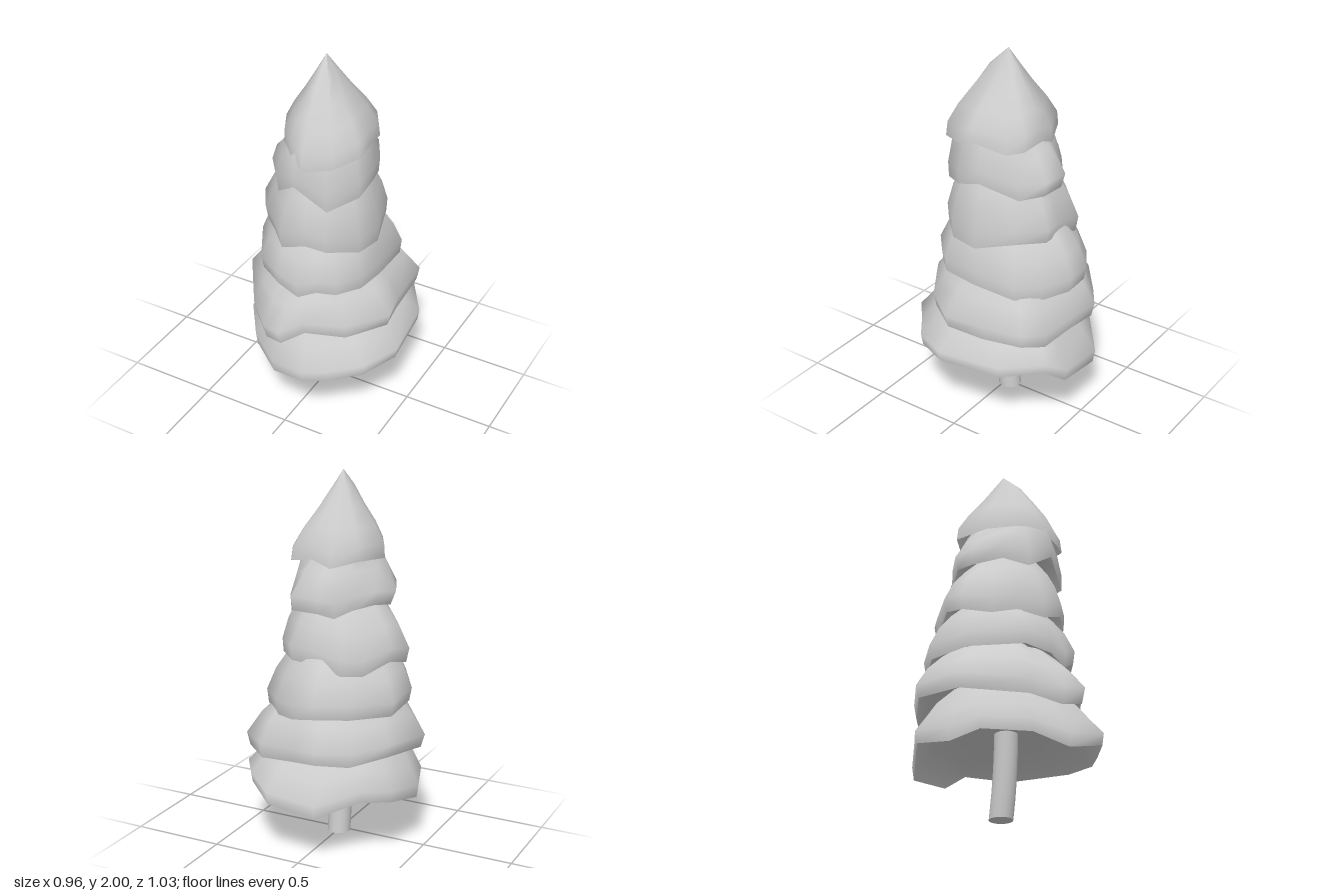
import * as THREE from 'three';

// Each profile row is [height fraction from rim to top, scale of the rim outline].
const BASE = [[0, 0.98], [0.15, 1], [0.36, 0.86], [0.55, 0.74], [0.8, 0.5], [1, 0.3]];
const BELL = [[0, 0.97], [0.18, 1], [0.45, 0.87], [0.65, 0.71], [1, 0.35]];
const TIP = [[0, 0.98], [0.16, 0.95], [0.36, 0.75], [0.58, 0.47], [0.8, 0.22], [1, 0]];

const grey = () => new THREE.MeshStandardMaterial({ color: 0xcccccc });

// Skin a ragged rim outline upward along a profile.
// Rim rows are x, y, z, flare: above 1 the branch sweeps out, below 1 it bulges.
function skin(rim, topY, profile, inward) {
  const n = rim.length / 4;
  const pos = [], index = [];
  for (const [t, k] of profile) {
    for (let i = 0; i < n; i++) {
      const [x, y, z, flare] = rim.slice(i * 4, i * 4 + 4);
      const s = Math.pow(k, flare);
      pos.push(x * s - 0.015 * t, y + (topY - y) * t, z * s);
    }
  }
  for (let r = 0; r < profile.length - 1; r++) {
    for (let i = 0; i < n; i++) {
      const a = r * n + i, b = r * n + (i + 1) % n, c = a + n, d = b + n;
      if (inward) index.push(a, b, c, b, d, c);
      else index.push(a, c, b, b, c, d);
    }
  }
  const g = new THREE.BufferGeometry();
  g.setAttribute('position', new THREE.Float32BufferAttribute(pos, 3));
  g.setIndex(index);
  g.computeVertexNormals();
  return g;
}

// A hollow foliage tier: outer bell plus a shallow, level underside.
function tier(name, topY, profile, rim) {
  const group = new THREE.Group();
  group.name = name;
  const under = [[0, profile[0][1]], [0.35, 0.92], [0.8, 0.76], [1, 0.45], [1, 0]];
  const outer = new THREE.Mesh(skin(rim, topY, profile, false), grey());
  outer.name = 'foliage';
  const inner = new THREE.Mesh(skin(rim, topY - 0.3, under, true), grey());
  inner.name = 'underside';
  group.add(outer, inner);
  return group;
}

export function createModel() {
  const tree = new THREE.Group();
  tree.name = 'pineTree';

  // Slightly bent trunk with a flat foot
  const bend = new THREE.CatmullRomCurve3([[0, 0, -0.023], [0, 0.14, -0.007], [0, 0.3, 0.004], [0, 0.5, 0.01]]
    .map(p => new THREE.Vector3(...p)));
  const trunkGeo = new THREE.TubeGeometry(bend, 8, 0.063, 16);
  const p = trunkGeo.attributes.position;
  for (let i = 0; i < 17; i++) p.setY(i, 0);
  const trunk = new THREE.Mesh(trunkGeo, grey());
  trunk.name = 'trunk';
  const foot = new THREE.Mesh(new THREE.CircleGeometry(0.063, 16).rotateX(Math.PI / 2), grey());
  foot.name = 'trunkFoot';
  foot.position.z = -0.023;
  tree.add(trunk, foot);

  // Foliage tiers from the ground up
  tree.add(tier('tier1', 0.75, BASE, [
    -0.47, 0.28, -0.02, 0.8, -0.42, 0.33, -0.26, 0.9, -0.29, 0.34, -0.36, 1, -0.1, 0.27, -0.515, 1,
    0.18, 0.3, -0.51, 1, 0.3, 0.39, -0.46, 1, 0.44, 0.36, -0.25, 1.1, 0.48, 0.35, 0.11, 1.4,
    0.38, 0.33, 0.31, 1.2, 0.22, 0.31, 0.43, 1.1, 0.12, 0.33, 0.515, 1, -0.1, 0.27, 0.45, 1,
    -0.27, 0.32, 0.34, 0.9, -0.42, 0.33, 0.13, 0.75]));
  tree.add(tier('tier2', 0.96, BELL, [
    -0.48, 0.55, 0.03, 1.4, -0.41, 0.58, -0.27, 1, -0.25, 0.54, -0.4, 0.9, -0.1, 0.56, -0.5, 1,
    0.05, 0.54, -0.46, 1, 0.26, 0.52, -0.43, 0.9, 0.38, 0.55, -0.36, 1.2, 0.38, 0.51, -0.1, 1.2,
    0.43, 0.54, 0.1, 1.8, 0.27, 0.53, 0.3, 1.2, 0.08, 0.57, 0.42, 1.1, -0.03, 0.51, 0.5, 1.6,
    -0.15, 0.48, 0.45, 1.4, -0.28, 0.52, 0.33, 1]));
  tree.add(tier('tier3', 1.2, BELL, [
    -0.4, 0.8, 0.03, 0.9, -0.4, 0.78, -0.2, 1, -0.23, 0.78, -0.36, 1, -0.07, 0.79, -0.46, 0.8,
    0.06, 0.77, -0.45, 0.8, 0.2, 0.75, -0.36, 0.9, 0.31, 0.77, -0.26, 0.9, 0.31, 0.78, 0, 0.6,
    0.3, 0.8, 0.19, 0.7, 0.2, 0.78, 0.29, 0.9, 0.12, 0.81, 0.36, 1, 0.01, 0.75, 0.37, 1,
    -0.11, 0.79, 0.36, 1, -0.25, 0.81, 0.29, 1]));
  tree.add(tier('tier4', 1.46, BELL, [
    -0.4, 1.02, -0.01, 1.3, -0.36, 1.05, -0.14, 1.2, -0.26, 0.99, -0.26, 1.1, -0.17, 1.0, -0.34, 1.1,
    0, 1.04, -0.33, 1, 0.12, 1.05, -0.34, 1.1, 0.24, 1.05, -0.21, 0.7, 0.295, 0.99, 0, 0.5,
    0.27, 1.0, 0.16, 0.5, 0.14, 1.03, 0.29, 0.7, 0.04, 1.06, 0.33, 0.7, -0.11, 1.0, 0.32, 0.8,
    -0.22, 1.03, 0.22, 0.9, -0.32, 1.0, 0.12, 1.2]));
  tree.add(tier('tier5', 1.74, BELL, [
    -0.32, 1.32, -0.01, 3, -0.27, 1.34, -0.14, 1.8, -0.18, 1.32, -0.22, 1, -0.1, 1.28, -0.28, 1.4,
    -0.03, 1.31, -0.34, 2, 0.12, 1.31, -0.33, 2, 0.19, 1.28, -0.21, 1, 0.26, 1.35, 0.0, 0.6,
    0.25, 1.31, 0.13, 0.6, 0.14, 1.27, 0.28, 0.5, -0.03, 1.39, 0.32, 0.5, -0.16, 1.3, 0.26, 0.8,
    -0.25, 1.34, 0.15, 1.6]));
  tree.add(tier('crown', 2, TIP, [
    -0.24, 1.55, 0.04, 1, -0.2, 1.57, -0.19, 1, -0.06, 1.53, -0.245, 0.9, 0.04, 1.57, -0.25, 0.9,
    0.17, 1.55, -0.23, 1, 0.22, 1.53, -0.15, 1, 0.26, 1.57, 0.05, 1.1, 0.25, 1.54, 0.13, 1.1,
    0.17, 1.52, 0.27, 0.8, 0.02, 1.49, 0.32, 0.72, -0.07, 1.55, 0.28, 0.75, -0.16, 1.56, 0.19, 0.9]));
  return tree;
}
